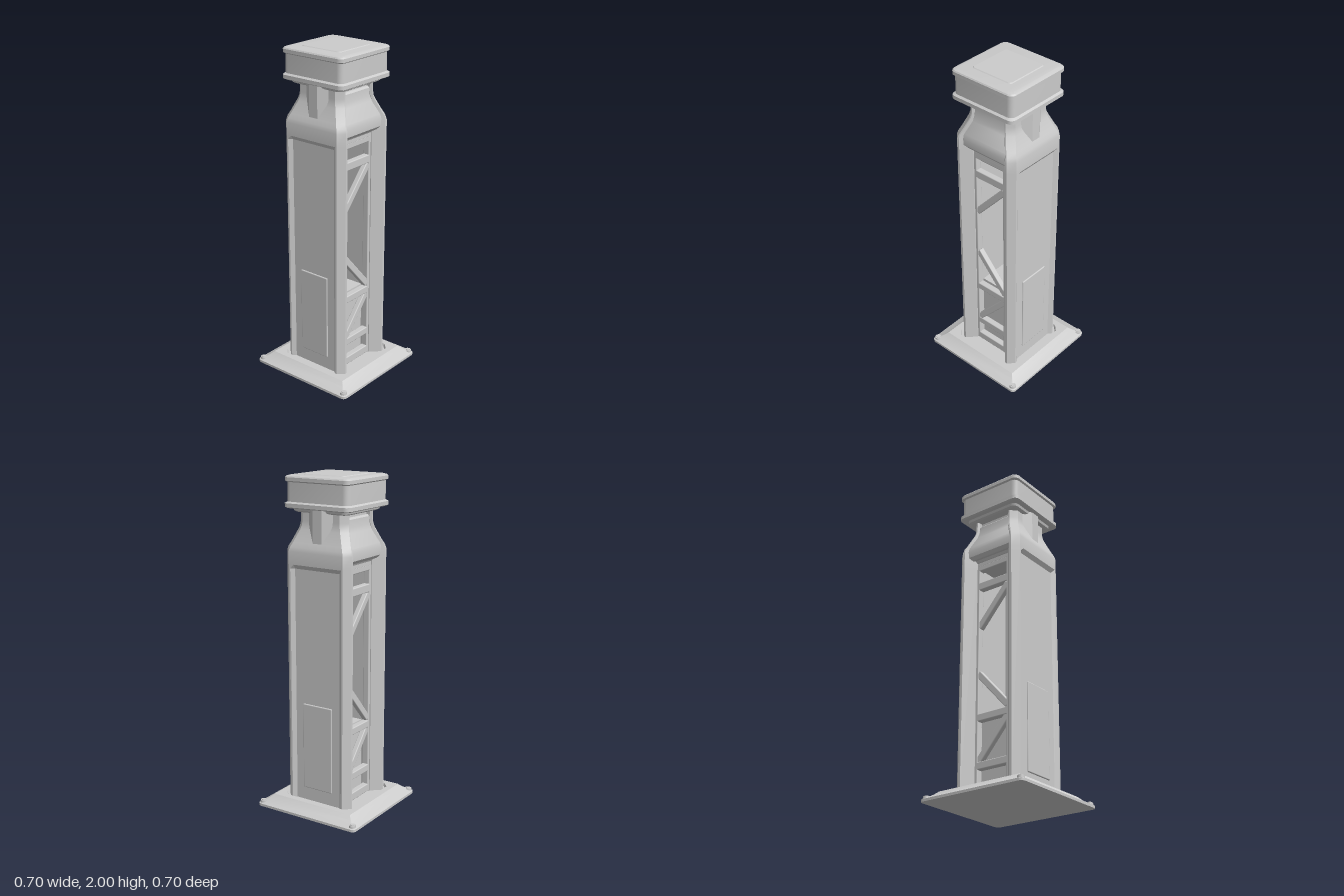
import * as THREE from 'three';
import { toCreasedNormals } from 'three/addons/utils/BufferGeometryUtils.js';
import { RoundedBoxGeometry } from 'three/addons/geometries/RoundedBoxGeometry.js';

const material = new THREE.MeshStandardMaterial({ color: 0xcccccc });

function add(parent, name, geometry, x = 0, y = 0, z = 0) {
  const mesh = new THREE.Mesh(geometry, material);
  mesh.name = name;
  mesh.position.set(x, y, z);
  parent.add(mesh);
  return mesh;
}

// Skin a stack of outlines; each section is { y, pts: [[x, z], ...] }, closed at both ends
function loft(sections, crease = 0.45) {
  const pos = [];
  const put = (s, i) => pos.push(s.pts[i][0], s.y, s.pts[i][1]);
  const n = sections[0].pts.length;
  for (let k = 0; k < sections.length - 1; k++) {
    const a = sections[k], b = sections[k + 1];
    for (let i = 0; i < n; i++) {
      const j = (i + 1) % n;
      put(a, i); put(b, i); put(a, j);
      put(a, j); put(b, i); put(b, j);
    }
  }
  for (const [s, up] of [[sections[0], false], [sections.at(-1), true]]) {
    const v = s.pts.map(([x, z]) => new THREE.Vector2(x, z));
    for (const [a, b, c] of THREE.ShapeUtils.triangulateShape(v, [])) {
      const turn = THREE.ShapeUtils.area([v[a], v[b], v[c]]) < 0;
      for (const i of turn === up ? [a, b, c] : [a, c, b]) put(s, i);
    }
  }
  const g = new THREE.BufferGeometry();
  g.setAttribute('position', new THREE.Float32BufferAttribute(pos, 3));
  return toCreasedNormals(g, crease);
}

// Square outline with rounded (or straight cut) corners
function square(y, w, r, cut = false, d = w) {
  const pts = [], steps = 6;
  for (let q = 0; q < 4; q++) {
    const sx = q === 0 || q === 3 ? 1 : -1, sz = q < 2 ? 1 : -1;
    for (let k = 0; k <= steps; k++) {
      const t = k / steps, a = (q + t) * Math.PI / 2;
      let c = Math.cos(a), s = Math.sin(a);
      if (cut) { const m = Math.abs(c) + Math.abs(s); const u = q % 2 ? t : 1 - t; c = sx * u; s = sz * (1 - u); if (m === 0) c = 0; }
      pts.push([sx * (w - r) + r * c, sz * (d - r) + r * s]);
    }
  }
  return { y, pts };
}

// C-shaped plan of a side shell: outer half-width o, depth r of the side recess
function shellPlan(y, inset, r) {
  const o = 0.222 - inset, e = o - 0.037;
  const p = Math.min(0.175, e - 0.004), q = p - 0.022;
  const f = Math.min(0.17, e - 0.008), i = Math.min(0.117, f - 0.008), zi = Math.min(0.165, o - 0.012);
  return { y, pts: [[o, -e], [o, -p], [o - r, -q], [o - r, q], [o, p], [o, e],
    [e, o], [f, o], [i, zi], [i, -zi], [f, -o], [e, -o]] };
}

function makeSide() {
  const side = new THREE.Group();
  side.name = 'side';
  add(side, 'sideShell', loft([
    [0.04, 0, 0.018], [1.465, 0, 0.018], [1.49, 0, 0], [1.565, 0, 0], [1.59, 0.006, 0],
    [1.615, 0.018, 0], [1.69, 0.049, 0], [1.715, 0.056, 0], [1.74, 0.058, 0], [1.81, 0.058, 0],
  ].map(s => shellPlan(...s))));
  // Vertical wedge on the neck, running out into the sloping shoulder
  const wedge = [[0.202, -0.03], [0.202, 0.03], [0.15, 0.1], [0.15, -0.1]];
  add(side, 'neckWedge', loft([{ y: 1.58, pts: wedge }, { y: 1.81, pts: wedge }]));
  add(side, 'accessPanel', new RoundedBoxGeometry(0.03, 0.53, 0.204, 2, 0.006), 0.196, 0.395, 0);
  return side;
}

function makeTruss() {
  const truss = new THREE.Group();
  truss.name = 'truss';
  const z = 0.14, depth = 0.04;
  // Upright stiles
  for (const s of [-1, 1])
    add(truss, 'stile', new RoundedBoxGeometry(0.024, 1.43, depth, 2, 0.005), s * 0.112, 0.765, z);
  // Cross rails, given by lower and upper edge
  for (const [a, b] of [[0.05, 0.1], [0.185, 0.23], [0.47, 0.515], [1.31, 1.36], [1.44, 1.475]])
    add(truss, 'rail', new RoundedBoxGeometry(0.23, b - a, depth, 2, 0.006), 0, (a + b) / 2, z);
  // Diagonal braces, given by their heights at the left and right stiles
  for (const [a, b] of [[0.235, 0.465], [0.76, 0.535], [1.07, 1.295]]) {
    const brace = add(truss, 'brace',
      new RoundedBoxGeometry(Math.hypot(0.2, b - a) + 0.02, 0.04, depth - 0.006, 2, 0.006), 0, (a + b) / 2, z);
    brace.rotation.z = Math.atan2(b - a, 0.2);
  }
  return truss;
}

export function createModel() {
  const model = new THREE.Group();
  model.name = 'pillar';

  // Stepped foot plate with a narrow groove around the shaft
  add(model, 'base', loft([
    square(0, 0.35, 0.025), square(0.015, 0.35, 0.025), square(0.045, 0.297, 0.004),
    square(0.065, 0.275, 0.002), square(0.065, 0.237, 0.037, true),
    square(0.05, 0.232, 0.037, true), square(0.05, 0.19, 0.03, true),
  ], 0.3));

  // Corner bolts
  for (const x of [-0.322, 0.322]) for (const z of [-0.322, 0.322]) {
    add(model, 'boltWasher', new THREE.CylinderGeometry(0.02, 0.022, 0.03, 24), x, 0.018, z);
    add(model, 'boltHead', new THREE.CylinderGeometry(0.013, 0.015, 0.034, 24), x, 0.02, z);
  }

  // Two side shells and two trusses, each pair half a turn apart
  for (const turn of [0, Math.PI]) {
    for (const part of [makeSide(), makeTruss()]) {
      part.rotation.y = turn;
      model.add(part);
    }
  }

  // Solid core behind the lower truss bays
  add(model, 'lowerCore', new THREE.BoxGeometry(0.24, 0.46, 0.2), 0, 0.275, 0);

  // Hood between the shoulders, flaring outward and undercut below
  add(model, 'hood', loft([
    [1.495, 0.14, 0.165], [1.51, 0.148, 0.172], [1.51, 0.15, 0.185], [1.53, 0.163, 0.203],
    [1.57, 0.163, 0.205], [1.6, 0.157, 0.198], [1.68, 0.122, 0.162], [1.71, 0.114, 0.153],
    [1.755, 0.112, 0.15], [1.765, 0.112, 0.14],
  ].map(([y, w, d]) => square(y, w, 0.004, false, d))));
  add(model, 'hoodSoffit', new RoundedBoxGeometry(0.26, 0.035, 0.32, 2, 0.006), 0, 1.485, 0);
  add(model, 'neck', new THREE.BoxGeometry(0.26, 0.1, 0.26), 0, 1.77, 0);

  // Banded cap with a raised lid
  add(model, 'cap', loft([
    [1.788, 0.175], [1.795, 0.186], [1.81, 0.19], [1.81, 0.214], [1.816, 0.224], [1.838, 0.224],
    [1.847, 0.212], [1.957, 0.212], [1.964, 0.222], [1.984, 0.222], [1.991, 0.217], [1.996, 0.203],
  ].map(([y, w]) => square(y, w, 0.035))));
  add(model, 'lid', loft([square(1.99, 0.14, 0.02), square(1.996, 0.14, 0.02), square(2, 0.135, 0.016)]));
  return model;
}
